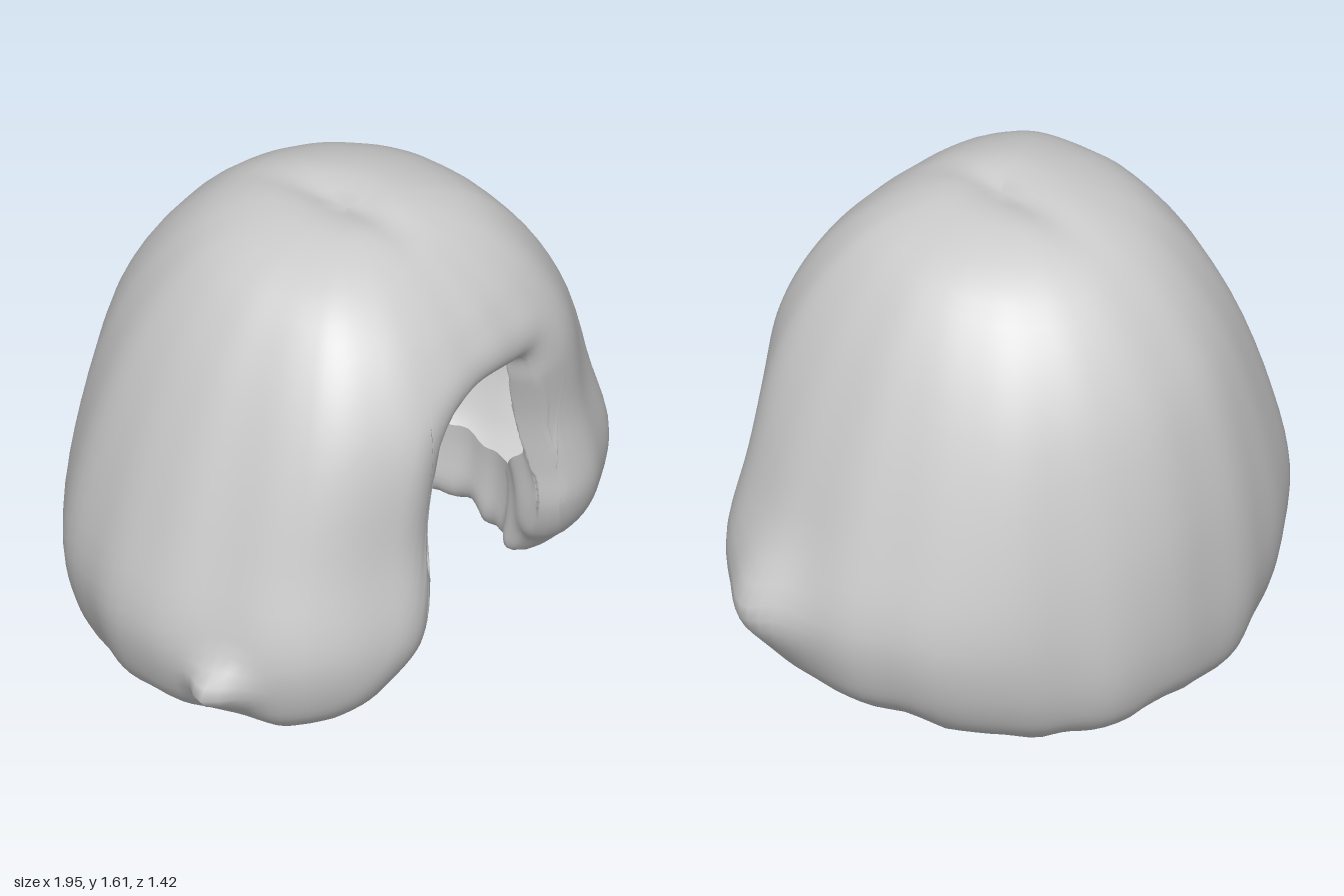
import * as THREE from 'three';

const CENTRE_Z = 0.1;   // axis the hair falls around
const ROLL = 0.1;       // how far the hem rolls inward
const ROLL_RADIUS = 0.16;

// Height, half width, front z, back z from crown to tips
const LEVELS = [
  [1.62, 0, 0.08, 0.08], [1.61, 0.2, 0.26, -0.13], [1.53, 0.41, 0.44, -0.33],
  [1.38, 0.55, 0.59, -0.49], [1.15, 0.68, 0.69, -0.62], [0.8, 0.82, 0.69, -0.7],
  [0.5, 0.9, 0.72, -0.72], [0.3, 0.86, 0.67, -0.71], [0.15, 0.77, 0.56, -0.67],
  [0, 0.63, 0.41, -0.57],
];
const widths = new THREE.CatmullRomCurve3(LEVELS.map(([y, w]) => new THREE.Vector3(w, y, 0)));
const depths = new THREE.CatmullRomCurve3(LEVELS.map(([y, , f, b]) => new THREE.Vector3(f, y, b)));

// Lower edge: azimuth in degrees (0 = front, + = left) and height
const HEM = [
  [-180, 0.07], [-160, 0.03], [-145, 0.02], [-125, 0.05], [-105, 0.12], [-88, 0.16],
  [-72, 0.17], [-60, 0.16], [-50, 0.21], [-40, 0.3], [-32, 0.41], [-29, 0.58], [-28, 0.8],
  [-25, 0.97], [-21, 1.09], [-14, 1.15], [0, 1.17], [14, 1.15], [22, 1.13], [27, 1.01],
  [33, 0.82], [36, 0.62], [37.5, 0.46], [43, 0.33], [52, 0.23], [62, 0.16], [74, 0.13],
  [88, 0.13], [105, 0.13], [125, 0.07], [145, 0.03], [160, 0.03], [180, 0.07],
];
const hemCurve = new THREE.CatmullRomCurve3(HEM.map(([a, y]) => new THREE.Vector3(a / 180, y, 0)));

// Profile parameter at which the fall reaches a given height
function paramAt(y) {
  let lo = 0, hi = 1;
  for (let i = 0; i < 24; i++) {
    const mid = (lo + hi) / 2;
    if (widths.getPoint(mid).y > y) lo = mid; else hi = mid;
  }
  return lo;
}

const bump = (p, x, y, z, r) =>
  Math.exp(-((p.x - x) ** 2 + (p.y - y) ** 2 + (p.z - z) ** 2) / (r * r));

// Point on the hair at azimuth a and profile parameter u, moved inward by inset
function surface(a, u, inset = 0) {
  const w = widths.getPoint(u), d = depths.getPoint(u);
  const s = Math.sin(a), c = Math.cos(a);
  // Front is flatter than the back, and the right lock sits further forward
  const front = Math.min(1, Math.max(0, c * 2));
  const n = 2 + 0.7 * front;
  const depth = c > 0 ? d.x - CENTRE_Z - 0.05 * s * front * u : CENTRE_Z - d.z;
  let r = 0;
  if (w.x > 1e-4) r = 1 / ((Math.abs(s) / w.x) ** n + (Math.abs(c) / Math.max(depth, 1e-4)) ** n) ** (1 / n);
  // Soft strands, fading on the lining
  const wave = Math.sin(a * 11 + u * 2) + 0.7 * Math.sin(a * 19 + 1.3 - u * 3) + 0.5 * Math.sin(a * 7 + u * 9);
  r *= 1 + 0.008 * wave * u * Math.max(0, 1 - inset * 4);
  r = Math.max(r - inset, 0);
  const p = new THREE.Vector3(r * s, w.y, CENTRE_Z + r * c);
  p.y -= 0.03 * Math.exp(-((p.x / 0.07) ** 2)) * Math.max(0, 1 - u * 5); // parting
  // Flicked-out ends
  p.x += 0.1 * bump(p, 0.9, 0.46, 0.24, 0.16) - 0.13 * bump(p, -0.88, 0.38, 0.3, 0.08);
  return p;
}

function hairGeometry() {
  const COLS = 192, ROWS = 36, CURL = 12;
  // Azimuth, height and edge point of each column
  const hem = [];
  for (let i = 0; i < COLS; i++) {
    const h = hemCurve.getPoint(i / COLS);
    const a = h.x * Math.PI;
    const y = h.y + (h.y < 0.3 ? 0.008 * Math.sin(a * 17) + 0.005 * Math.sin(a * 29 + 1) : 0);
    const u = paramAt(y);
    hem.push({ a, y, u, point: surface(a, u) });
  }
  // Inward pull that rounds the surface over toward the edge
  const pull = (p) => {
    let d = Infinity;
    for (const h of hem) d = Math.min(d, p.distanceTo(h.point));
    const k = 1 - Math.min(d / ROLL_RADIUS, 1);
    return ROLL * (1 - Math.sqrt(1 - k * k));
  };
  const positions = [], index = [];
  const perCol = ROWS + CURL + 1;
  for (const { a, y, u } of hem) {
    // Outer fall, crown to edge
    for (let j = 0; j <= ROWS; j++) {
      const v = u * (1 - (1 - j / ROWS) ** 1.4);
      positions.push(...surface(a, v, pull(surface(a, v))).toArray());
    }
    // Rolled-in lining: short over the brow, leaning further inward below
    const rise = y > 0.9 ? 0.04 : Math.min(0.3, 0.04 + (0.9 - y) * 0.45);
    const lean = 0.12 * (1 - THREE.MathUtils.smoothstep(y, 0.18, 0.42));
    const uEnd = paramAt(y + rise);
    for (let j = 1; j <= CURL; j++) {
      const t = j / CURL;
      const v = THREE.MathUtils.lerp(u, uEnd, t ** 1.4);
      positions.push(...surface(a, v, 2 * ROLL + lean * t - pull(surface(a, v))).toArray());
    }
  }
  for (let i = 0; i < COLS; i++) {
    for (let j = 0; j < perCol - 1; j++) {
      const p = i * perCol + j, q = ((i + 1) % COLS) * perCol + j;
      if (j > 0) index.push(p, p + 1, q);
      index.push(q, p + 1, q + 1);
    }
  }
  const g = new THREE.BufferGeometry();
  g.setAttribute('position', new THREE.Float32BufferAttribute(positions, 3));
  g.setIndex(index);
  g.computeVertexNormals();
  // Crown vertices share one upright normal
  for (let i = 0; i < COLS; i++) g.attributes.normal.setXYZ(i * perCol, 0, 1, 0);
  return g;
}

export function createModel() {
  const group = new THREE.Group();
  group.name = 'wig';
  const material = new THREE.MeshStandardMaterial({ color: 0xcccccc, side: THREE.DoubleSide });
  const hair = new THREE.Mesh(hairGeometry(), material);
  hair.name = 'hair';
  group.add(hair);
  return group;
}
